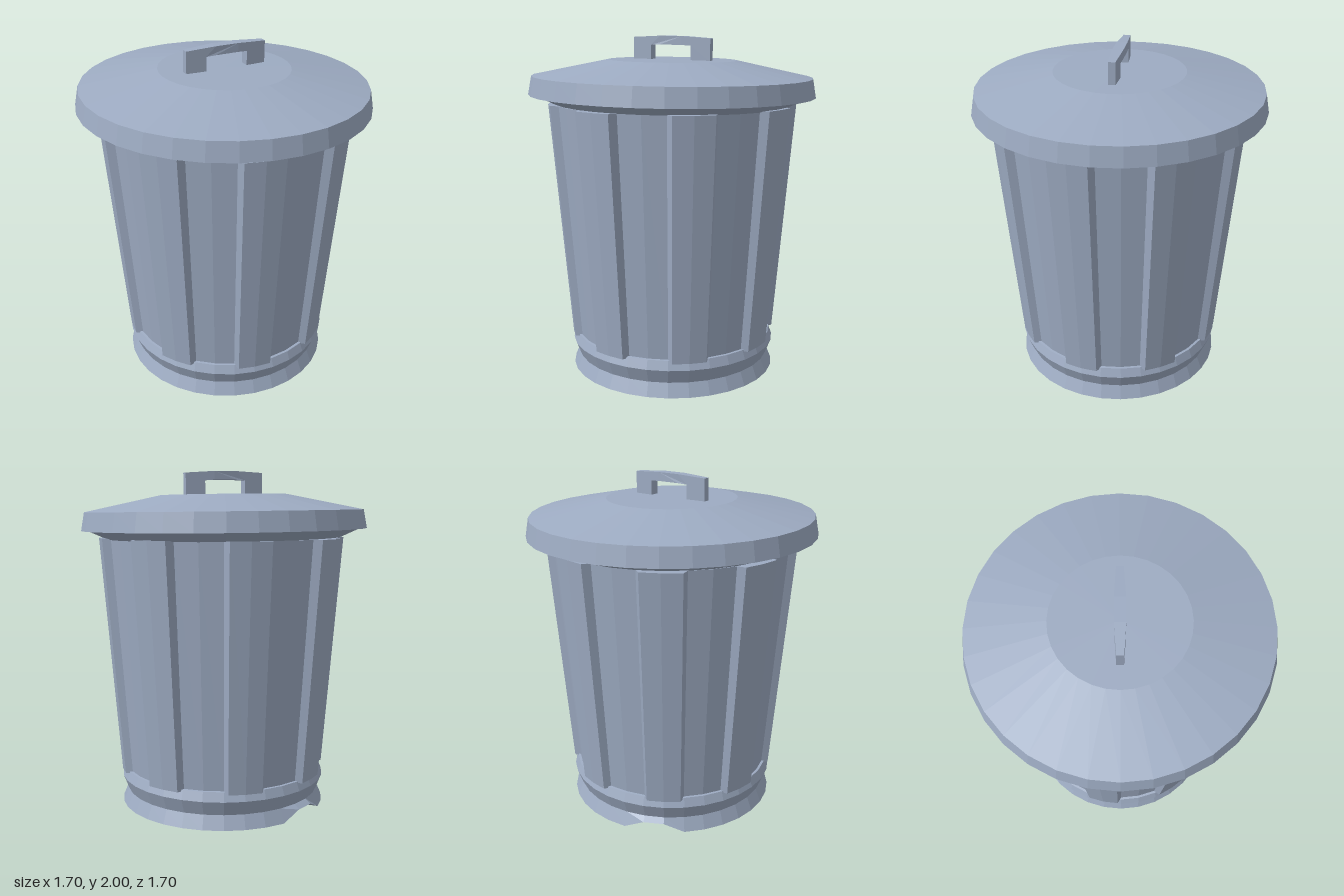
import * as THREE from 'three';

const steel = new THREE.MeshStandardMaterial({ color: 0x9dabc2 });
steel.name = 'steel blue';

const SIDES = 32;
const TILT = -0.012;

// Faceted mesh with one normal per face
function flatMesh(geometry, name) {
  const g = geometry.index ? geometry.toNonIndexed() : geometry;
  g.computeVertexNormals();
  const mesh = new THREE.Mesh(g, steel);
  mesh.name = name;
  return mesh;
}

// Turned part, profile given as [radius, y] from bottom to top
function turned(profile) {
  return new THREE.LatheGeometry(profile.map(([r, y]) => new THREE.Vector2(r, y)), SIDES);
}

// Moves every vertex of a geometry by a rule
function bend(geometry, rule) {
  const p = geometry.attributes.position;
  const v = new THREE.Vector3();
  for (let i = 0; i < p.count; i++) {
    rule(v.fromBufferAttribute(p, i));
    p.setXYZ(i, v.x, v.y, v.z);
  }
  return geometry;
}

// Waisted foot ring with a flat bottom and a small dent at the back
function makeBase() {
  const g = turned([[0, 0], [0.62, 0], [0.587, 0.08], [0.62, 0.165], [0.6, 0.218], [0.56, 0.222]]);
  bend(g, (v) => {
    if (v.y > 0.01 || Math.hypot(v.x, v.z) < 0.5) return;
    const angle = THREE.MathUtils.radToDeg(Math.atan2(v.x, v.z)) + 360;
    if (angle > 200 && angle < 216) v.y += 0.055;
  });
  return flatMesh(g, 'base');
}

// Tapered can with eight raised panels
function makeBody() {
  const outer = 0.737, inner = 0.692, bottomScale = 0.845, y0 = 0.207, height = 1.403;
  const points = [];
  for (let i = 0; i < 8; i++) {
    const steps = [[-22.5, inner], [-20.3, outer], [-11.25, outer], [-2.2, outer], [0, inner], [11.25, inner]];
    for (const [deg, r] of steps) {
      const a = THREE.MathUtils.degToRad(i * 45 + deg);
      points.push(new THREE.Vector2(r * Math.sin(a), -r * Math.cos(a)));
    }
  }
  const g = new THREE.ExtrudeGeometry(new THREE.Shape(points), { depth: height, bevelEnabled: false, steps: 1 });
  g.rotateX(-Math.PI / 2);
  bend(g, (v) => {
    const s = THREE.MathUtils.lerp(bottomScale, 1, v.y / height);
    v.x *= s;
    v.z *= s;
    v.y += y0;
  });
  return flatMesh(g, 'ribbedBody');
}

// Lid with sloping top, flared skirt and coned underside
function makeLid() {
  return flatMesh(turned([
    [0, 1.61], [0.7, 1.61], [0.815, 1.662], [0.848, 1.66], [0.828, 1.768], [0.38, 1.862], [0, 1.864],
  ]), 'lid');
}

// Flat bar handle, a little thicker in the middle
function makeHandle() {
  const outline = [
    [-0.247, 1.855], [-0.128, 1.855], [-0.128, 1.946], [-0.07, 1.949], [0.07, 1.949], [0.128, 1.946],
    [0.128, 1.855], [0.247, 1.855], [0.247, 1.99], [0.07, 2], [-0.07, 2], [-0.247, 1.99],
  ];
  const shape = new THREE.Shape(outline.map(([x, y]) => new THREE.Vector2(x, y)));
  const g = new THREE.ExtrudeGeometry(shape, { depth: 2, bevelEnabled: false, steps: 1 });
  g.translate(0, 0, -1);
  bend(g, (v) => {
    const t = THREE.MathUtils.clamp((Math.abs(v.x) - 0.07) / 0.177, 0, 1);
    v.z *= THREE.MathUtils.lerp(0.031, 0.02, t);
  });
  return flatMesh(g, 'handle');
}

export function createModel() {
  const model = new THREE.Group();
  model.name = 'dustbin';

  const can = new THREE.Group();
  can.name = 'can';
  can.add(makeBase(), makeBody());
  can.position.set(0.007, 0, 0.006);

  // The lid sits slightly askew
  const cover = new THREE.Group();
  cover.name = 'cover';
  const lid = makeLid();
  const handle = makeHandle();
  for (const part of [lid, handle]) part.position.y = -1.7;
  cover.add(lid, handle);
  cover.position.y = 1.7;
  cover.rotation.z = TILT;

  model.add(can, cover);
  return model;
}
